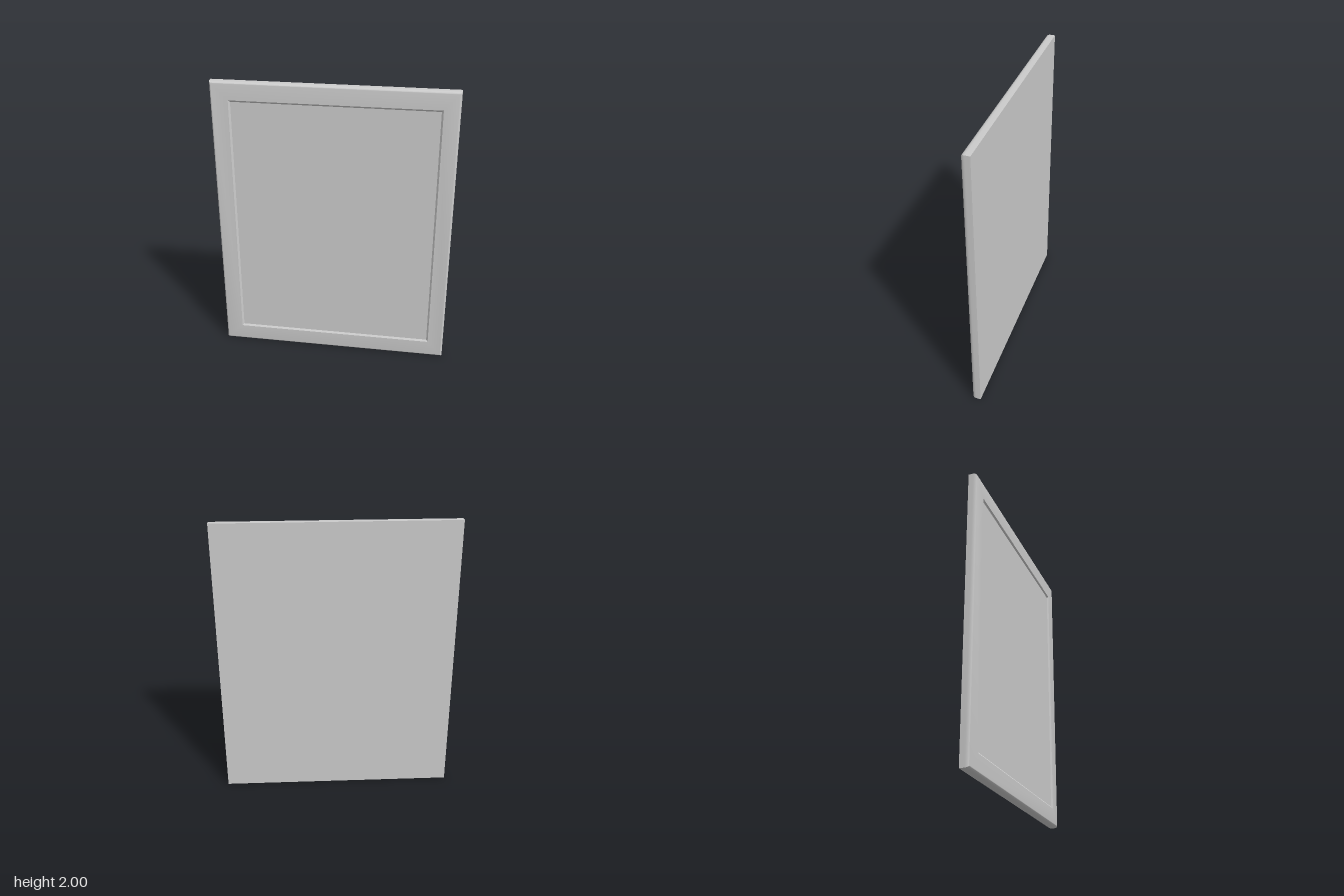
import * as THREE from 'three';
import { toCreasedNormals } from 'three/addons/utils/BufferGeometryUtils.js';

const W = 0.812, H = 2, Z = 0.029;

// Rectangular ring, counter-clockwise as seen from the front
const ring = (x0, x1, y0, y1, z) => [[x0, y0, z], [x1, y0, z], [x1, y1, z], [x0, y1, z]];
const outer = (inset, z) => ring(-W + inset, W - inset, inset, H - inset, z);
const recess = (inset, z) => ring(-0.69 + inset, 0.704 - inset, 0.118 + inset, 1.878 - inset, z);

// Joins successive rings with mitred strips
function loft(rings) {
  const pos = [];
  for (let r = 0; r < rings.length - 1; r++) {
    for (let i = 0; i < 4; i++) {
      const j = (i + 1) % 4;
      const [a, b, c, d] = [rings[r][i], rings[r][j], rings[r + 1][j], rings[r + 1][i]];
      pos.push(...a, ...b, ...c, ...a, ...c, ...d);
    }
  }
  const geo = new THREE.BufferGeometry();
  geo.setAttribute('position', new THREE.Float32BufferAttribute(pos, 3));
  return toCreasedNormals(geo, 0.6);
}

export function createModel() {
  const group = new THREE.Group();
  const material = new THREE.MeshStandardMaterial({ color: 0xcccccc });
  const add = (name, geo) => {
    const mesh = new THREE.Mesh(geo, material);
    mesh.name = name;
    group.add(mesh);
    return mesh;
  };

  // Frame: square back edge, softly rounded front edge, flat face, sloped inner lip
  const rings = [outer(0, -Z)];
  const steps = 5;
  for (let i = 0; i <= steps; i++) {
    const t = (i / steps) * Math.PI / 2;
    rings.push(outer(0.014 * (1 - Math.cos(t)), Z - 0.025 * (1 - Math.sin(t))));
  }
  const floorZ = Z - 0.01;
  rings.push(recess(0, Z), recess(0.012, floorZ));
  add('frame', loft(rings));

  // Recessed centre panel
  const panel = add('centrePanel', new THREE.PlaneGeometry(1.394 - 0.024, 1.76 - 0.024));
  panel.position.set(0.007, 0.998, floorZ);

  // Flat back
  const back = add('backPanel', new THREE.PlaneGeometry(W * 2, H));
  back.position.set(0, H / 2, -Z);
  back.rotation.y = Math.PI;

  return group;
}
